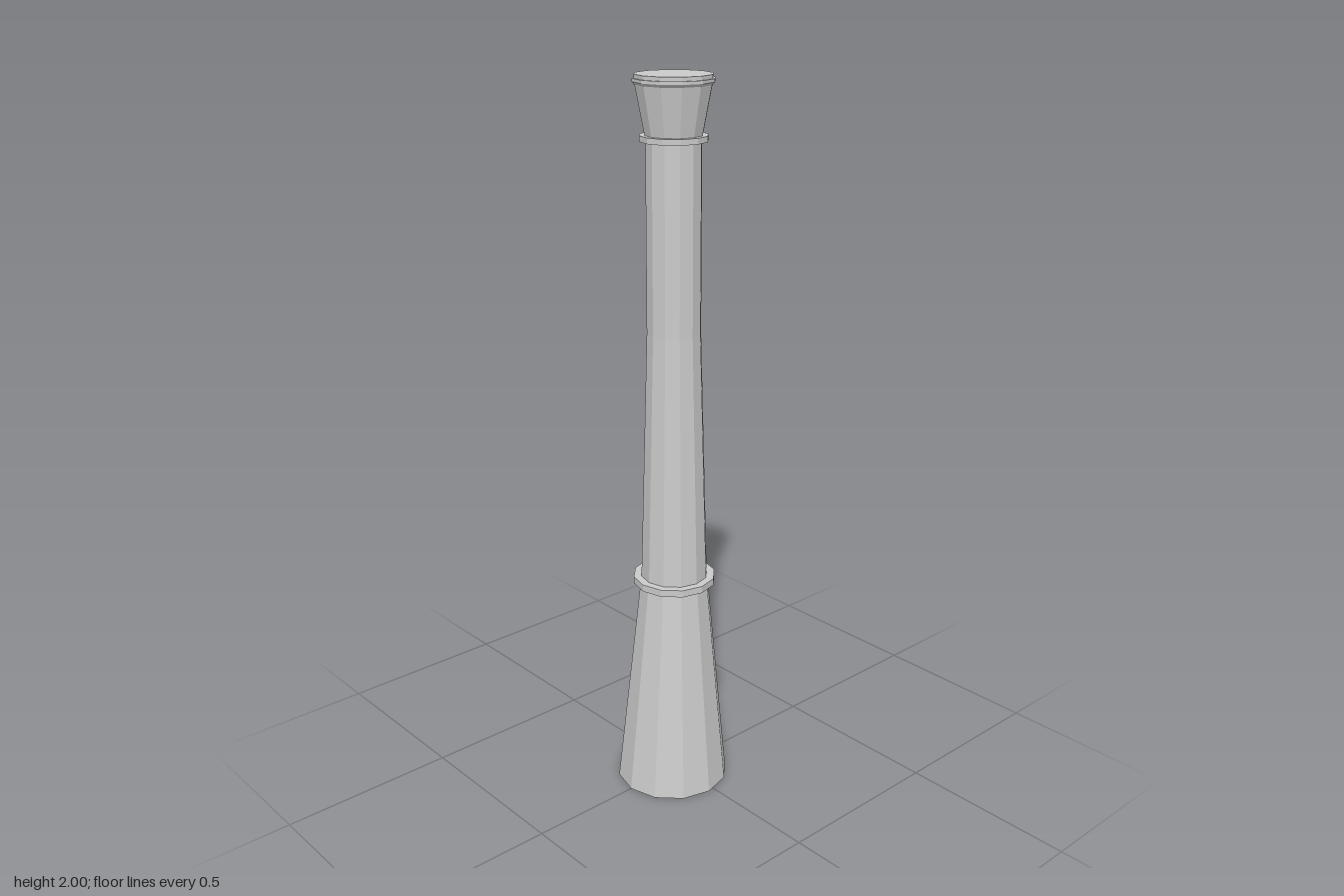
import * as THREE from 'three';

const SIDES = 12;
const AXIS_Z = 0.0105; // the shaft axis sits slightly forward of the base centre

export function createModel() {
  const group = new THREE.Group();
  const material = new THREE.MeshStandardMaterial({ color: 0xcccccc, flatShading: true });

  // Twelve-sided, closed frustum between two heights
  const addSection = (name, y0, y1, r0, r1) => {
    const geometry = new THREE.CylinderGeometry(r1, r0, y1 - y0, SIDES);
    geometry.translate(0, (y0 + y1) / 2, AXIS_Z);
    const mesh = new THREE.Mesh(geometry, material);
    mesh.name = name;
    group.add(mesh);
    return mesh;
  };

  // Flared base: its foot shifts forward, and its rear corner is drawn out to a point
  const base = addSection('base', 0, 0.62, 0.16, 0.096);
  const p = base.geometry.attributes.position;
  for (let i = 0; i < p.count; i++) {
    if (p.getY(i) > 0.01) continue;
    const z = p.getZ(i) - AXIS_Z;
    p.setZ(i, z < -0.155 ? -0.18 : z + 0.0185);
  }

  // Shaft: tapered below, straight above
  addSection('lowerShaft', 0.62, 1.34, 0.094, 0.073);
  addSection('upperShaft', 1.34, 1.85, 0.073, 0.073);

  // Collars
  addSection('lowerCollar', 0.618, 0.638, 0.1155, 0.1155);
  addSection('upperCollar', 1.836, 1.851, 0.089, 0.089);

  // Flared crown with its rim
  addSection('crown', 1.851, 1.975, 0.075, 0.099);
  addSection('crownRimLower', 1.975, 1.982, 0.1, 0.106);
  addSection('crownRim', 1.982, 1.99, 0.106, 0.106);
  addSection('crownTop', 1.99, 2, 0.101, 0.101);

  return group;
}
